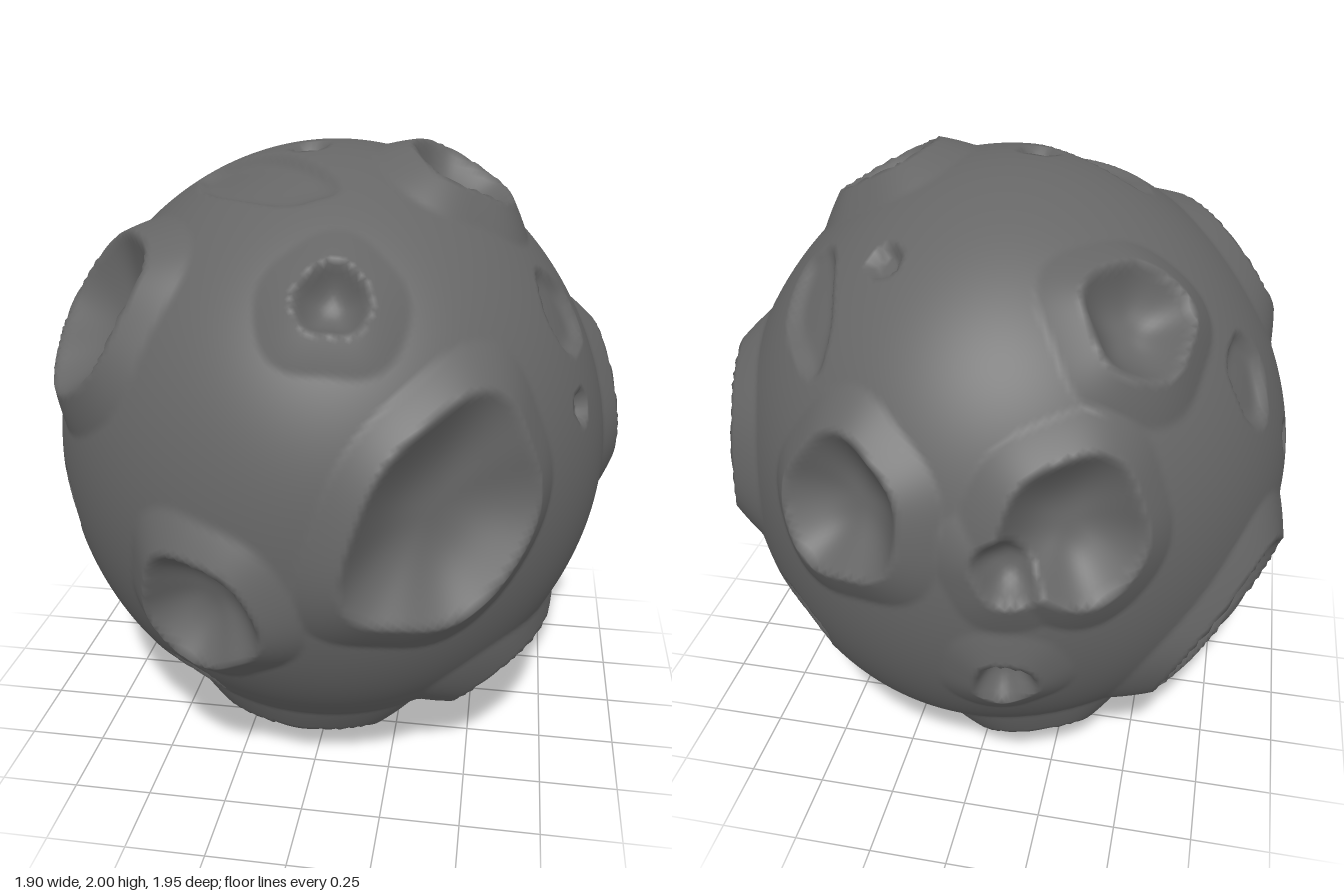
import * as THREE from 'three';
import { mergeVertices } from 'three/addons/utils/BufferGeometryUtils.js';

const RADIUS = 0.92;
const SEMI_AXES = new THREE.Vector3(0.91, 0.962, 0.935);

// Each crater: azimuth from the front towards +x, latitude, half length,
// and for ovals also half width and tilt (angles in degrees)
const DEEP = [
  [29, 4, 0.33, 0.25, 50],
  [-16, -14, 0.18],
  [9, 41, 0.1],
  [-57, 32, 0.245],
  [-9, -70, 0.25, 0.2, 0],
  [108, 5, 0.245],
  [77, -48, 0.34, 0.2, -12],
  [82, 64, 0.165],
  [-138, 44, 0.16],
  [160, 12, 0.19],
  [-158, 12, 0.2],
  [-169, 6, 0.1],
  [-170, -20, 0.09],
  [-159, -63, 0.22, 0.18, 50],
  [-115, -23, 0.3, 0.21, 48],
];
const SHALLOW = [
  [-32, -42, 0.13],
  [-61, -32, 0.11],
  [-63, -9, 0.13, 0.09, 90],
  [137, -24, 0.14],
  [75, 32, 0.135],
  [68, 15, 0.05],
  [132, 41, 0.23, 0.1, -35],
  [-41, 84, 0.06],
  [-36, 70, 0.29, 0.13, 0],
  [149, 54, 0.055],
  [-109, 26, 0.14, 0.11, 80],
  [-95, 8, 0.045],
];

// Tangent frame with its first axis along the crater's length
function crater([azimuth, latitude, a, b = a, tilt = 0], phase) {
  const rad = THREE.MathUtils.degToRad;
  const n = new THREE.Vector3().setFromSphericalCoords(1, rad(90 - latitude), rad(azimuth));
  const u = new THREE.Vector3(Math.cos(rad(azimuth)), 0, -Math.sin(rad(azimuth))).applyAxisAngle(n, rad(tilt));
  return { n, u, v: n.clone().cross(u), a, b, phase };
}

// Deep craters are bowls with a raised lip; shallow ones are flat floored dents
const craters = [
  ...DEEP.map((c, i) => ({
    ...crater(c, i * 1.7),
    depth: Math.min(0.15, 0.05 + 0.45 * c[2]),
    lip: Math.min(0.055, 0.35 * c[2]),
    flatness: 2.6,
  })),
  ...SHALLOW.map((c, i) => ({ ...crater(c, i * 2.3), depth: 0.035, lip: 0, flatness: 7 })),
];

// Height over the plain body in a direction: bowls win over raised lips
function relief(d) {
  let lips = 0, bowl = Infinity;
  for (const c of craters) {
    if (d.dot(c.n) < 0.5) continue;
    const s = d.dot(c.u) * RADIUS / c.a, t = d.dot(c.v) * RADIUS / c.b;
    const angle = Math.atan2(t, s);
    const rim = 1 + 0.05 * Math.sin(3 * angle + c.phase) + 0.03 * Math.sin(5 * angle + 2 * c.phase);
    const r = Math.hypot(s, t) / rim;
    if (r < 1) {
      bowl = Math.min(bowl, c.lip - c.depth * (1 - r ** c.flatness));
    } else {
      const away = (r - 1) * Math.sqrt(c.a * c.b);
      lips = Math.max(lips, c.lip * Math.max(0, 1 - away / 0.11));
    }
  }
  const swell = 0.006 * (Math.sin(4 * d.x + 1) + Math.sin(5 * d.y + 2) * Math.cos(4 * d.z));
  return swell + (bowl < Infinity ? bowl : lips);
}

export function createModel() {
  const stone = new THREE.MeshStandardMaterial({ color: 0x666666 });
  stone.name = 'stone grey';

  // Fine ball with shared corners, so the shading is smooth
  const ball = new THREE.IcosahedronGeometry(1, 70);
  ball.deleteAttribute('uv');
  ball.deleteAttribute('normal');
  const geometry = mergeVertices(ball, 1e-5);

  // Push every point to the body's surface plus its crater relief
  const pos = geometry.attributes.position;
  const d = new THREE.Vector3(), p = new THREE.Vector3();
  for (let i = 0; i < pos.count; i++) {
    d.fromBufferAttribute(pos, i).normalize();
    p.copy(d).multiply(SEMI_AXES).addScaledVector(d, relief(d));
    pos.setXYZ(i, p.x, p.y, p.z);
  }
  geometry.computeVertexNormals();

  // Centre it and stand it on the ground
  geometry.center();
  geometry.translate(0, geometry.boundingBox.max.y, 0);

  const body = new THREE.Mesh(geometry, stone);
  body.name = 'crateredRock';
  const group = new THREE.Group();
  group.name = 'asteroid';
  group.add(body);
  return group;
}
